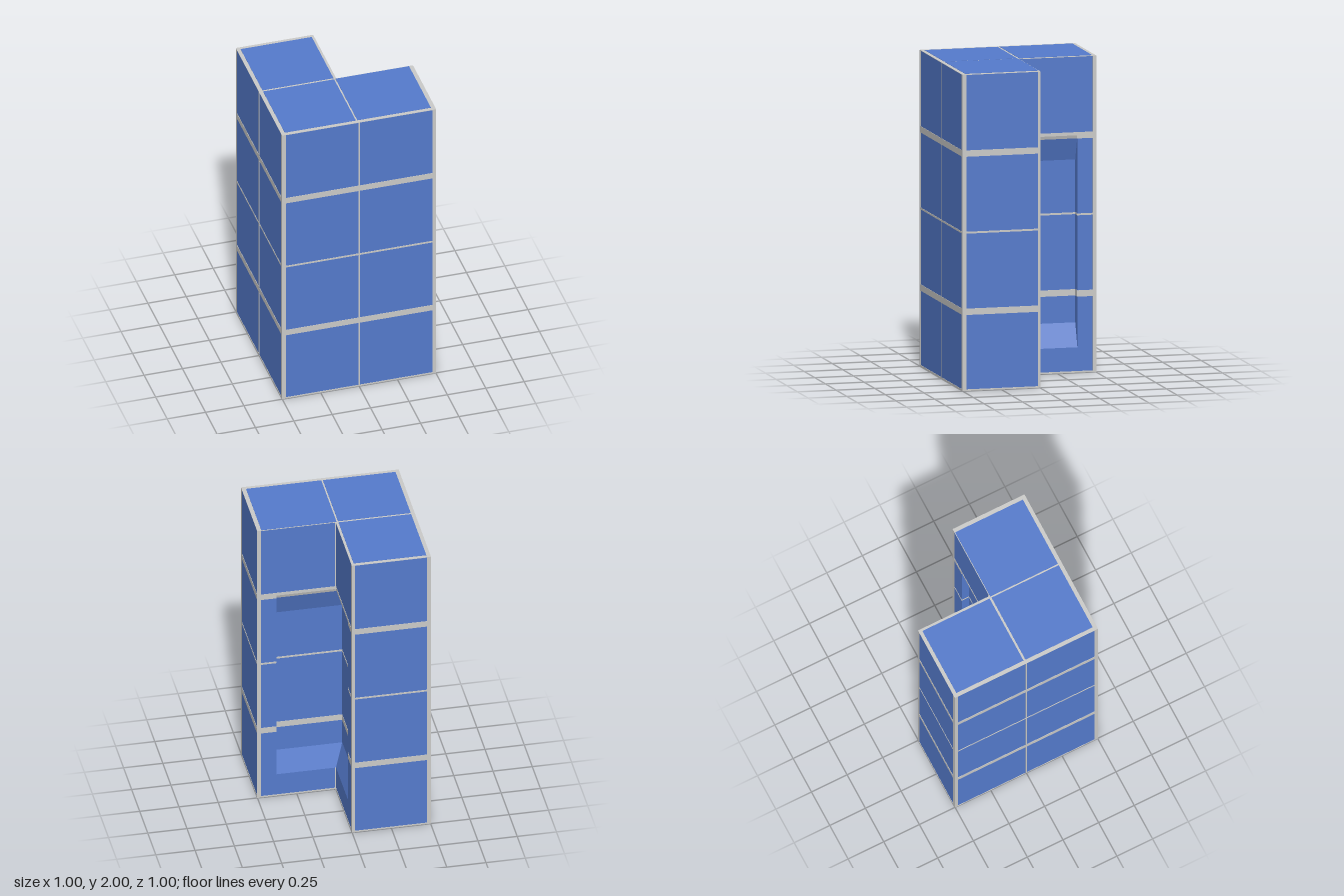
import * as THREE from 'three';

const E = 0.002; // how far the trim stands proud of the panels

// L-shaped floor plan; d is the depth of the recess in the inner corner, e an outset
function outline(d, e) {
  return [
    [-0.5 - e, 0.5 + e], [0.5 + e, 0.5 + e], [0.5 + e, -e],
    [0.38 - e, -e], [0.38 - e, d - e], [-d + e, d - e], [-d + e, -0.38 + e], [e, -0.38 + e],
    [e, -0.5 - e], [-0.5 - e, -0.5 - e],
  ];
}

// Solid lofted through levels [y, recessDepth]
function loft(levels, e = 0) {
  const pos = [];
  const rings = levels.map(([y, d]) => outline(d, e).map(([x, z]) => [x, y, z]));
  const same = (p, q) => p.every((v, i) => Math.abs(v - q[i]) < 1e-6);
  const tri = (a, b, c) => {
    if (!same(a, b) && !same(b, c) && !same(a, c)) pos.push(...a, ...b, ...c);
  };
  for (let k = 0; k < rings.length - 1; k++) {
    const lo = rings[k], hi = rings[k + 1];
    for (let i = 0; i < lo.length; i++) {
      const j = (i + 1) % lo.length;
      tri(lo[i], lo[j], hi[j]);
      tri(lo[i], hi[j], hi[i]);
    }
  }
  const cap = (ring, up) => {
    const pts = ring.map(([x, , z]) => new THREE.Vector2(x, -z));
    for (const [a, b, c] of THREE.ShapeUtils.triangulateShape(pts, [])) {
      if (up) tri(ring[a], ring[b], ring[c]);
      else tri(ring[a], ring[c], ring[b]);
    }
  };
  cap(rings[0], false);
  cap(rings[rings.length - 1], true);
  const g = new THREE.BufferGeometry();
  g.setAttribute('position', new THREE.Float32BufferAttribute(pos, 3));
  g.computeVertexNormals();
  return g;
}

// Box given by its extents on each axis
function block([x0, x1], [y0, y1], [z0, z1]) {
  return new THREE.BoxGeometry(x1 - x0, y1 - y0, z1 - z0)
    .translate((x0 + x1) / 2, (y0 + y1) / 2, (z0 + z1) / 2);
}

export function createModel() {
  const group = new THREE.Group();
  const blue = new THREE.MeshStandardMaterial({ name: 'panelBlue', color: 0x557bcd });
  const grey = new THREE.MeshStandardMaterial({ name: 'trimGrey', color: 0xcbcbc9 });
  const add = (name, geometry, material) => {
    const mesh = new THREE.Mesh(geometry, material);
    mesh.name = name;
    group.add(mesh);
  };

  // Main tower with the sloped recess in its inner corner
  const D = 0.05;
  add('tower', loft([[0, 0], [0.16, 0], [0.31, D], [1.34, D], [1.5, 0], [1.999, 0]]), blue);

  // Horizontal trim bands that follow the walls and the recess
  add('baseTrim', loft([[0, 0], [0.01, 0]], E), grey);
  add('lowerBand', loft([[0.48, D], [0.52, D]], E), grey);
  add('middleSeam', loft([[0.994, D], [1.006, D]], E), grey);
  add('upperBand', loft([[1.48, D / 8], [1.5, 0], [1.52, 0]], E), grey);
  add('roofTrim', loft([[1.997, 0], [1.9995, 0]], E), grey);

  // Vertical trim on the outer corners and wall seams
  const full = [0, 1.9985];
  const posts = [
    [[-0.5 - E, -0.477], [0.477, 0.5 + E]],
    [[0.477, 0.5 + E], [0.477, 0.5 + E]],
    [[-0.5 - E, -0.477], [-0.5 - E, -0.479]],
    [[-0.018, E], [-0.5 - E, -0.479]],
    [[0.479, 0.5 + E], [-E, 0.012]],
    [[-0.005, 0.005], [0.49, 0.5 + E]],
    [[-0.5 - E, -0.49], [-0.005, 0.005]],
  ];
  for (const [x, z] of posts) add('cornerTrim', block(x, full, z), grey);

  // Inner corner trim stops above and below the recess
  for (const y of [[0, 0.16], [1.5, 1.9985]]) {
    add('innerCornerTrim', block([-0.005, 0.007], y, [-0.007, 0.005]), grey);
  }

  // Roof and floor panels, one per square of the plan
  const squares = [
    [[-0.477, -0.014], [-0.479, -0.008]],
    [[-0.477, -0.014], [0.006, 0.477]],
    [[-0.004, 0.475], [0.002, 0.477]],
  ];
  for (const [x, z] of squares) {
    add('roofPanel', block(x, [1.998, 2.001], z), blue);
    add('floorPanel', block(x, [-0.001, 0.002], z), blue);
  }
  return group;
}
